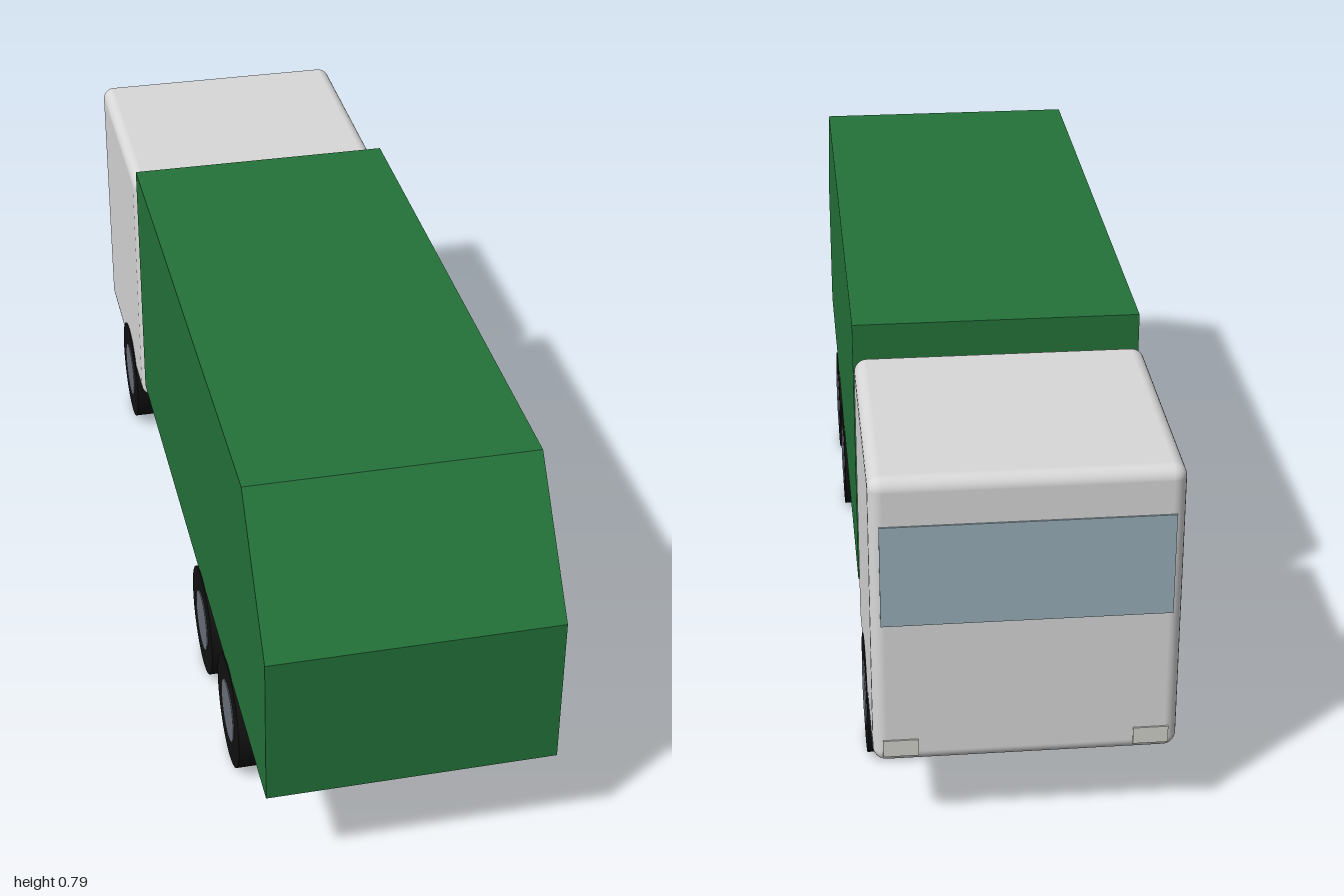
import * as THREE from 'three';
import { RoundedBoxGeometry } from 'three/addons/geometries/RoundedBoxGeometry.js';

const material = (name, color) => {
  const m = new THREE.MeshStandardMaterial({ color });
  m.name = name;
  return m;
};

export function createModel() {
  const truck = new THREE.Group();
  truck.name = 'refuseTruck';
  const green = material('bodyGreen', 0x24733a);
  const grey = material('cabGrey', 0xd8d8d8);
  const steel = material('steelGrey', 0x6b707b);
  const black = material('tyreBlack', 0x111111);
  const glass = material('glassBlue', 0x98afba);
  const lamp = material('lampGrey', 0xd2d2cc);

  const add = (name, geometry, mat, x = 0, y = 0, z = 0, parent = truck) => {
    const mesh = new THREE.Mesh(geometry, mat);
    mesh.name = name;
    mesh.position.set(x, y, z);
    parent.add(mesh);
    return mesh;
  };

  // Cargo body: side profile extruded across the width, sloped at the +z end
  const profile = new THREE.Shape([
    [0.44, 0.225], [0.44, 0.79], [-0.8, 0.79], [-1, 0.54], [-1, 0.225],
  ].map(([x, y]) => new THREE.Vector2(x, y)));
  const body = new THREE.ExtrudeGeometry(profile, { depth: 0.56, bevelEnabled: false });
  body.translate(0, 0, -0.28).rotateY(Math.PI / 2);
  add('cargoBody', body, green);

  // Chassis beam, running under the body into the cab
  add('chassis', new THREE.BoxGeometry(0.222, 0.069, 1.36), steel, 0, 0.1945, 0.14);

  // Cab with softly rounded edges
  add('cab', new RoundedBoxGeometry(0.56, 0.585, 0.517, 4, 0.025), grey, 0, 0.4525, -0.7385);

  // Windscreen and headlights on the cab face
  add('windscreen', new THREE.BoxGeometry(0.524, 0.2, 0.006), glass, 0, 0.555, -0.997);
  for (const side of [-1, 1]) {
    add(side > 0 ? 'leftHeadlight' : 'rightHeadlight',
      new THREE.BoxGeometry(0.065, 0.034, 0.006), lamp, side * 0.2295, 0.195, -0.997);
  }

  // Wheels: tyre with a hub showing on both faces
  const tyre = new THREE.CylinderGeometry(0.116, 0.116, 0.0715, 32).rotateZ(Math.PI / 2);
  const hub = new THREE.CylinderGeometry(0.064, 0.064, 0.0755, 32).rotateZ(Math.PI / 2);
  for (const [axle, z] of [['cab', -0.69], ['middle', 0.325], ['rear', 0.62]]) {
    for (const side of [-1, 1]) {
      const wheel = new THREE.Group();
      wheel.name = axle + (side > 0 ? 'LeftWheel' : 'RightWheel');
      wheel.position.set(side * 0.246, 0.116, z);
      add('tyre', tyre, black, 0, 0, 0, wheel);
      add('hub', hub, steel, 0, 0, 0, wheel);
      truck.add(wheel);
    }
  }
  return truck;
}
